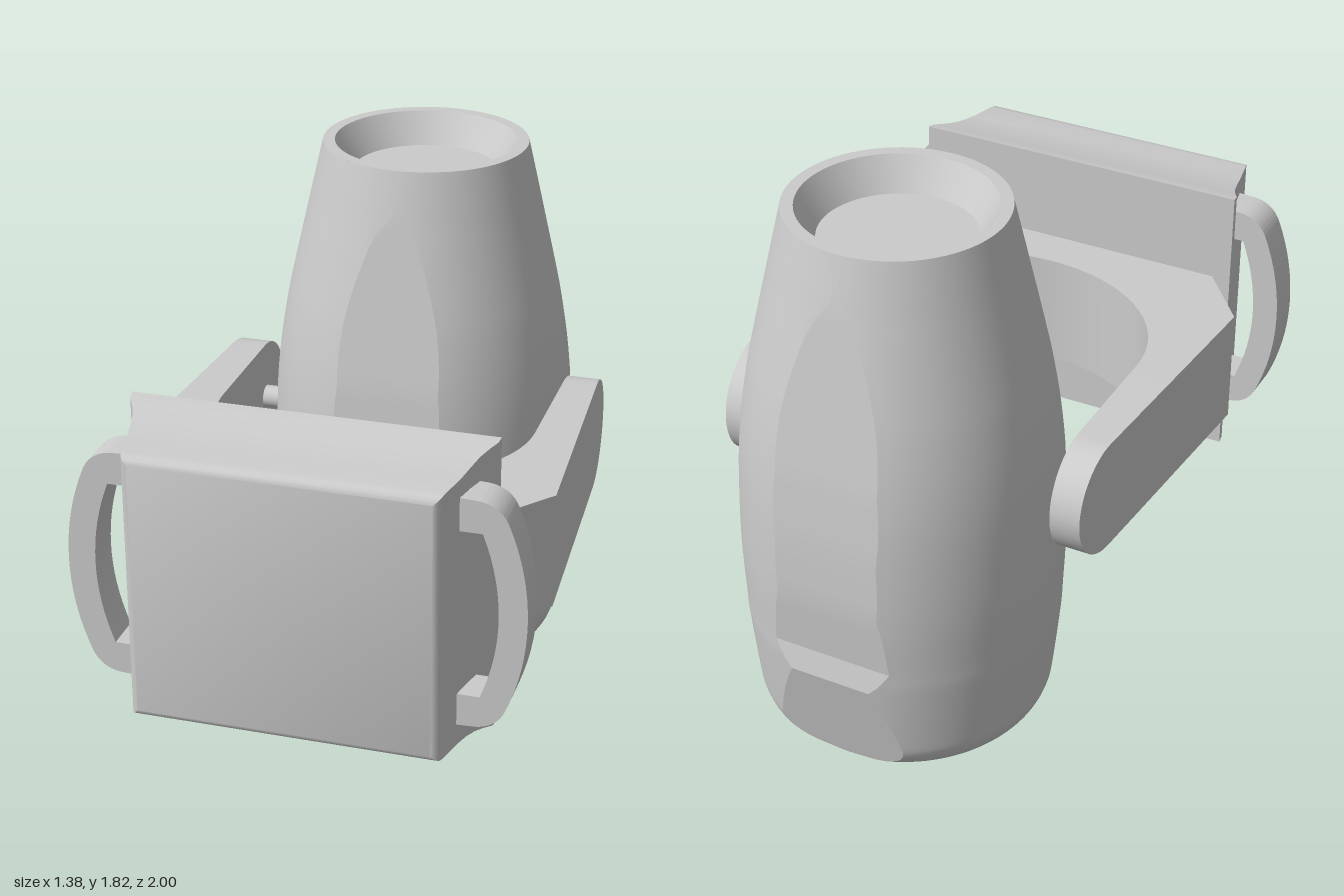
import * as THREE from 'three';
import { toCreasedNormals } from 'three/addons/utils/BufferGeometryUtils.js';

const MID = 0.912; // height of the yoke, swivel and base centre

// Skins a row of closed rings (counter-clockwise about the direction of travel) and caps both ends
function loft(rings, crease) {
  const n = rings[0].length, pos = [], idx = [];
  rings.forEach(r => r.forEach(p => pos.push(...p)));
  for (let i = 0; i < rings.length - 1; i++) {
    for (let j = 0; j < n; j++) {
      const k = (j + 1) % n, a = i * n + j, b = i * n + k;
      idx.push(a, b, b + n, a, b + n, a + n);
    }
  }
  const e = (rings.length - 1) * n;
  for (let j = 1; j < n - 1; j++) idx.push(0, j + 1, j, e, e + j, e + j + 1);
  const g = new THREE.BufferGeometry();
  g.setAttribute('position', new THREE.Float32BufferAttribute(pos, 3));
  g.setIndex(idx);
  return toCreasedNormals(g, crease);
}

// Linear interpolation through [x, value...] stops
function lerpStops(stops, x) {
  let i = 1;
  while (i < stops.length - 1 && x > stops[i][0]) i++;
  const [a, b] = [stops[i - 1], stops[i]];
  const t = THREE.MathUtils.clamp((x - a[0]) / (b[0] - a[0]), 0, 1);
  return a.slice(1).map((v, k) => v + (b[k + 1] - v) * t);
}

// Barrel body with a shaved flat on its front and back
function headGeometry() {
  const profile = new THREE.SplineCurve([
    [0.002, 0], [0.15, 0.011], [0.28, 0.04], [0.385, 0.08], [0.43, 0.115], [0.455, 0.16],
    [0.465, 0.22], [0.485, 0.42], [0.489, 0.5], [0.496, 0.7], [0.49, 0.95], [0.475, 1.12],
    [0.45, 1.28], [0.425, 1.4], [0.375, 1.62], [0.33, 1.815],
  ].map(p => new THREE.Vector2(...p)));
  const flats = [[0.08, 0.385], [0.42, 0.467], [0.5, 0.449], [0.7, 0.467], [0.9, 0.463],
    [1.12, 0.445], [1.4, 0.403], [1.68, 0.362], [1.82, 0.36]];
  const rings = profile.getPoints(60).map(({ x: r, y }) => {
    const [c] = lerpStops(flats, y);
    const a = Math.max(0.03, Math.acos(Math.min(1, c / r)));
    const ring = [];
    // Columns follow the edges of the flats so that they stay clean
    const span = (from, to, n) => {
      for (let i = 0; i < n; i++) {
        const t = from + (to - from) * i / n;
        ring.push([r * Math.sin(t), y, THREE.MathUtils.clamp(r * Math.cos(t), -c, c)]);
      }
    };
    span(-a, a, 8);
    span(a, Math.PI - a, 40);
    span(Math.PI - a, Math.PI + a, 8);
    span(Math.PI + a, 2 * Math.PI - a, 40);
    return ring;
  });
  rings.pop(); // the lens rim closes the top
  rings.push(rings[0].map((_, j) => {
    const p = rings[rings.length - 1][j];
    const s = 0.33 / Math.hypot(p[0], p[2]);
    return [p[0] * s, 1.815, p[2] * s];
  }));
  // Drop the end cap: the opening is covered by the lens well
  const g = loft(rings, 0.25);
  const p = g.attributes.position, keep = { position: [], normal: [] };
  for (let i = 0; i < p.count; i += 3) {
    if ([0, 1, 2].every(k => p.getY(i + k) > 1.8149)) continue;
    for (const name in keep) keep[name].push(...g.attributes[name].array.slice(i * 3, i * 3 + 9));
  }
  const open = new THREE.BufferGeometry();
  for (const name in keep) open.setAttribute(name, new THREE.Float32BufferAttribute(keep[name], 3));
  return open;
}

// U-shaped yoke: pairs of inner and outer plan points with a half height
function yokeGeometry() {
  const H = 0.185, half = [];
  const outerArm = z => 0.605 + 0.06 * (z + 0.57);
  for (let i = 0; i <= 14; i++) {
    const a = (1 - i / 14) * Math.PI / 2;
    const z = -0.385 - H * Math.sin(a);
    half.push([0.508, z, outerArm(z), z, Math.max(0.004, H * Math.cos(a))]);
  }
  const outer = [[0, outerArm(0.03), 0.03], [1 / 3, 0.665, 0.43], [2 / 3, 0.505, 0.63], [1, 0, 0.63]];
  for (let i = 0; i <= 24; i++) {
    const t = i / 24, a = t * Math.PI / 2;
    half.push([0.508 * Math.cos(a), 0.03 + 0.45 * Math.sin(a), ...lerpStops(outer, t), H]);
  }
  const mirrored = half.slice(0, -1).reverse().map(([a, b, c, d, h]) => [-a, b, -c, d, h]);
  const rings = [...half, ...mirrored].map(([xi, zi, xo, zo, h]) => [
    [xo, MID - h, zo], [xo, MID + h, zo], [xi, MID + h, zi], [xi, MID - h, zi]]);
  return loft(rings, 0.4);
}

// Base housing: rectangles shrinking from the flared rear rim to the rounded front
function baseGeometry() {
  const sections = [[0.663, 0.553, 0.467], [0.69, 0.55, 0.463], [0.72, 0.533, 0.455],
    [0.76, 0.515, 0.446], [0.81, 0.502, 0.436], [0.87, 0.49, 0.428], [0.96, 0.472, 0.425],
    [0.982, 0.466, 0.421], [0.994, 0.458, 0.413], [1, 0.445, 0.4]];
  return loft(sections.map(([z, x, y]) => [
    [x, MID - 0.004 - y, z], [x, MID - 0.004 + y, z],
    [-x, MID - 0.004 + y, z], [-x, MID - 0.004 - y, z]]), 0.6);
}

// Bowed carrying handle for the +x side
function handleGeometry() {
  const s = new THREE.Shape();
  s.moveTo(0.485, -0.365);
  s.lineTo(0.545, -0.362);
  s.quadraticCurveTo(0.605, -0.355, 0.63, -0.3);
  s.bezierCurveTo(0.71, -0.11, 0.71, 0.11, 0.63, 0.3);
  s.quadraticCurveTo(0.605, 0.355, 0.545, 0.362);
  s.lineTo(0.485, 0.365);
  s.lineTo(0.485, 0.262);
  s.lineTo(0.556, 0.262);
  s.bezierCurveTo(0.623, 0.09, 0.623, -0.09, 0.556, -0.262);
  s.lineTo(0.485, -0.262);
  const g = new THREE.ExtrudeGeometry(s, { depth: 0.12, bevelEnabled: false, curveSegments: 16 });
  g.translate(0, MID + 0.003, 0.757);
  return toCreasedNormals(g, 0.5);
}

export function createModel() {
  const model = new THREE.Group();
  model.name = 'movingHeadLight';
  const grey = new THREE.MeshStandardMaterial({ color: 0xcccccc });
  const add = (name, geometry, x = 0, y = 0, z = 0) => {
    const m = new THREE.Mesh(geometry, grey);
    m.name = name;
    m.position.set(x, y, z);
    model.add(m);
    return m;
  };

  // Lamp head and its sunken lens
  add('head', headGeometry(), 0, 0, -0.534);
  const well = [[0, 1.715], [0.233, 1.715], [0.292, 1.815], [0.33, 1.815]];
  const wellShape = new THREE.LatheGeometry(well.map(p => new THREE.Vector2(...p)).reverse(), 96);
  const lens = add('lensWell', toCreasedNormals(wellShape, 0.4), 0, 0, -0.534);
  lens.material = new THREE.MeshStandardMaterial({ color: 0xcccccc, side: THREE.DoubleSide });

  // Yoke and the pivots that carry the head
  add('yoke', yokeGeometry());
  for (const side of [1, -1]) {
    const pivot = new THREE.CylinderGeometry(0.037, 0.037, 0.08, 32).rotateZ(Math.PI / 2);
    add(side > 0 ? 'leftPivot' : 'rightPivot', pivot, side * 0.475, MID, -0.387);
  }

  // Swivel and base
  add('swivel', new THREE.CylinderGeometry(0.13, 0.13, 0.06, 48).rotateX(Math.PI / 2), 0, MID, 0.647);
  add('base', baseGeometry());
  const panel = add('bottomPanel', new THREE.BoxGeometry(0.72, 0.03, 0.19), 0, 0.489, 0.84);
  panel.rotation.x = -0.14;

  // Handles
  const handle = handleGeometry();
  add('leftHandle', handle);
  const right = add('rightHandle', handle, 0, 0, 1.634);
  right.rotation.y = Math.PI;
  return model;
}
